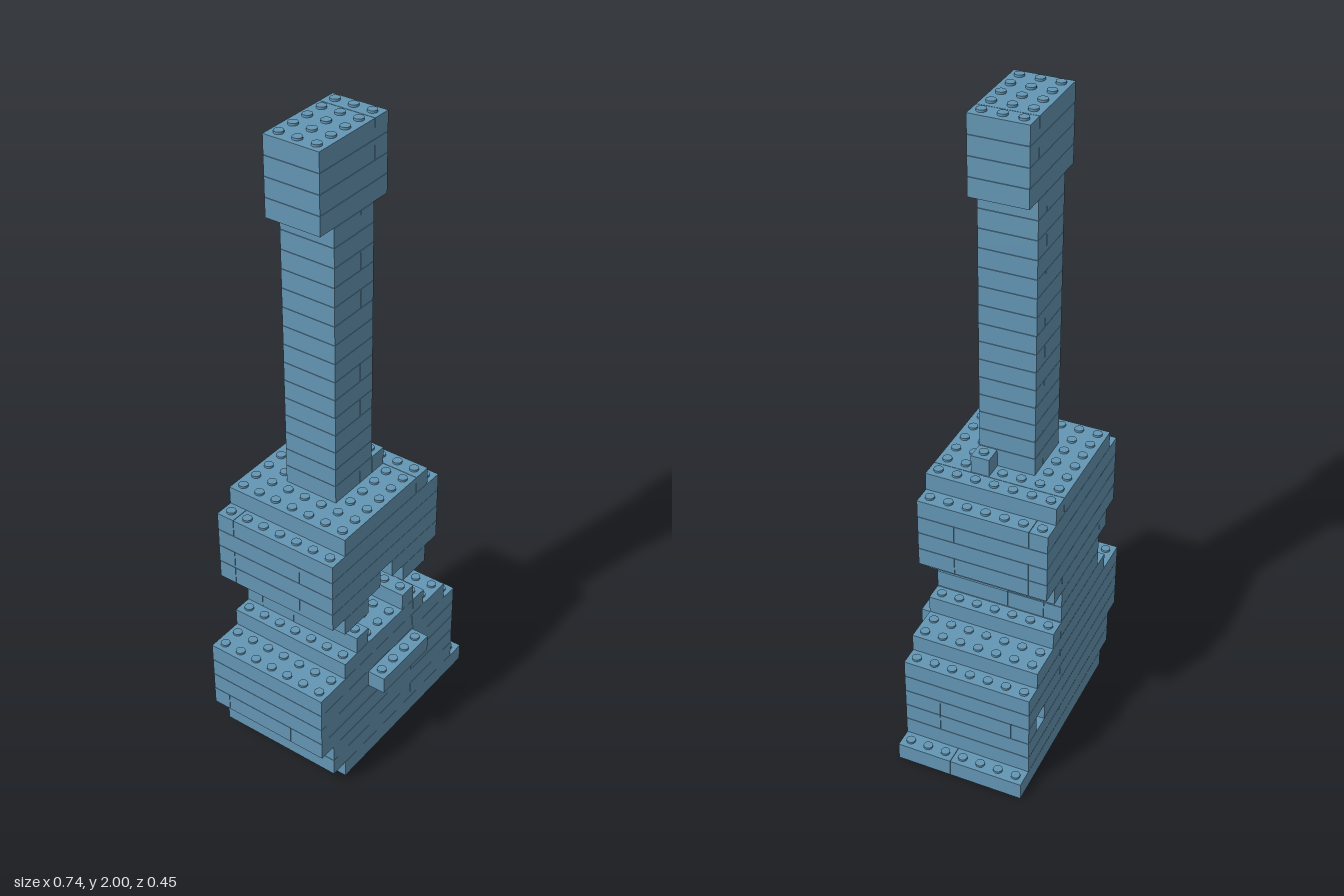
import * as THREE from 'three';

const P = 0.0569;   // stud pitch
const H = 0.05698;  // layer height
const GAP = 0.0014; // seam between bricks
const X0 = -6.5 * P, Z0 = -4 * P;

export function createModel() {
  const blue = new THREE.MeshStandardMaterial({ color: 0x6496b4 });
  const model = new THREE.Group();
  const parts = {};
  const filled = new Set();
  const cells = [];
  const studGeometry = new THREE.CylinderGeometry(0.0138, 0.0138, 0.007, 16);

  const part = (name) => {
    if (!parts[name]) {
      parts[name] = new THREE.Group();
      parts[name].name = name;
      model.add(parts[name]);
    }
    return parts[name];
  };

  // One brick, in stud units across and layers up
  function brick(name, layer, x0, x1, z0, z1) {
    const mesh = new THREE.Mesh(
      new THREE.BoxGeometry((x1 - x0) * P - GAP, H - GAP, (z1 - z0) * P - GAP), blue);
    mesh.name = 'brick';
    mesh.position.set(X0 + (x0 + x1) / 2 * P, (layer + 0.5) * H, Z0 + (z0 + z1) / 2 * P);
    part(name).add(mesh);
    for (let x = x0; x < x1; x++) {
      for (let z = z0; z < z1; z++) {
        filled.add(`${layer},${x},${z}`);
        cells.push([name, layer, x, z]);
      }
    }
  }

  // A course of bricks divided at the given x and z seams
  function course(name, layer, x0, x1, z0, z1, xCuts = [], zCuts = []) {
    const xs = [x0, ...xCuts, x1], zs = [z0, ...zCuts, z1];
    for (let i = 0; i + 1 < xs.length; i++) {
      for (let j = 0; j + 1 < zs.length; j++) brick(name, layer, xs[i], xs[i + 1], zs[j], zs[j + 1]);
    }
  }

  // Base: foot plate, lower courses and wide shoulders
  course('footPlate', 0, 2, 13, 0, 7, [], [4]);
  course('base', 1, 1, 12, 0, 7, [8]);
  course('base', 2, 1, 12, 0, 7, [], [5]);
  course('base', 3, 0, 12, 1, 7, [8], [5]);
  brick('base', 3, 0, 10, 0, 1); // small opening left in the back
  brick('base', 3, 11, 12, 0, 1);
  course('base', 4, 0, 12, 0, 7, [8]);
  course('base', 5, 0, 12, 0, 7, [8]);
  course('base', 6, 0, 11, 0, 7, [8]);
  course('base', 7, 2, 9, 0, 7, [8]);
  brick('frontLedge', 5, 4, 8, 7, 8);

  // Waist: rails in front of a narrow back wall with a central recess
  course('waist', 8, 3, 8, 0, 3, [], [1]);
  for (const x of [3, 7]) brick('waistRail', 8, x, x + 1, 3, 7);
  for (const layer of [9, 10]) {
    brick('waist', layer, 3, 8, 0, 2);
    brick('waist', layer, 3, 5, 2, 3);
    brick('waist', layer, 6, 8, 2, 3);
  }
  // Rails hanging under the upper body
  brick('hangingRail', 10, 2, 4, 3, 7);
  brick('hangingRail', 10, 7, 9, 3, 7);
  brick('hangingRail', 10, 2, 3, 0, 3);
  brick('hangingRail', 10, 8, 9, 0, 3);

  // Upper body, with a notch in the front of its lowest course
  course('upperBody', 11, 1, 10, 0, 5, [], [1]);
  brick('upperBody', 11, 1, 5, 5, 7);
  brick('upperBody', 11, 6, 10, 5, 7);
  for (const layer of [12, 13, 14]) course('upperBody', layer, 1, 10, 0, 7, [], [layer % 2 ? 5 : 1]);
  course('upperBody', 15, 2, 9, 0, 7, [8]);

  // Tall neck, with seams on alternate courses, and the head
  for (let layer = 16; layer < 31; layer++) course('neck', layer, 4, 7, 2, 5, layer % 2 ? [] : [6]);
  brick('neckStep', 16, 7, 8, 4, 5);
  for (let layer = 31; layer < 35; layer++) course('head', layer, 3, 8, 2, 5, layer > 32 ? [7] : []);

  // Studs on every uncovered top
  for (const [name, layer, x, z] of cells) {
    if (filled.has(`${layer + 1},${x},${z}`)) continue;
    const stud = new THREE.Mesh(studGeometry, blue);
    stud.name = 'stud';
    stud.position.set(X0 + (x + 0.5) * P, (layer + 1) * H + 0.0022, Z0 + (z + 0.5) * P);
    part(name).add(stud);
  }
  return model;
}
